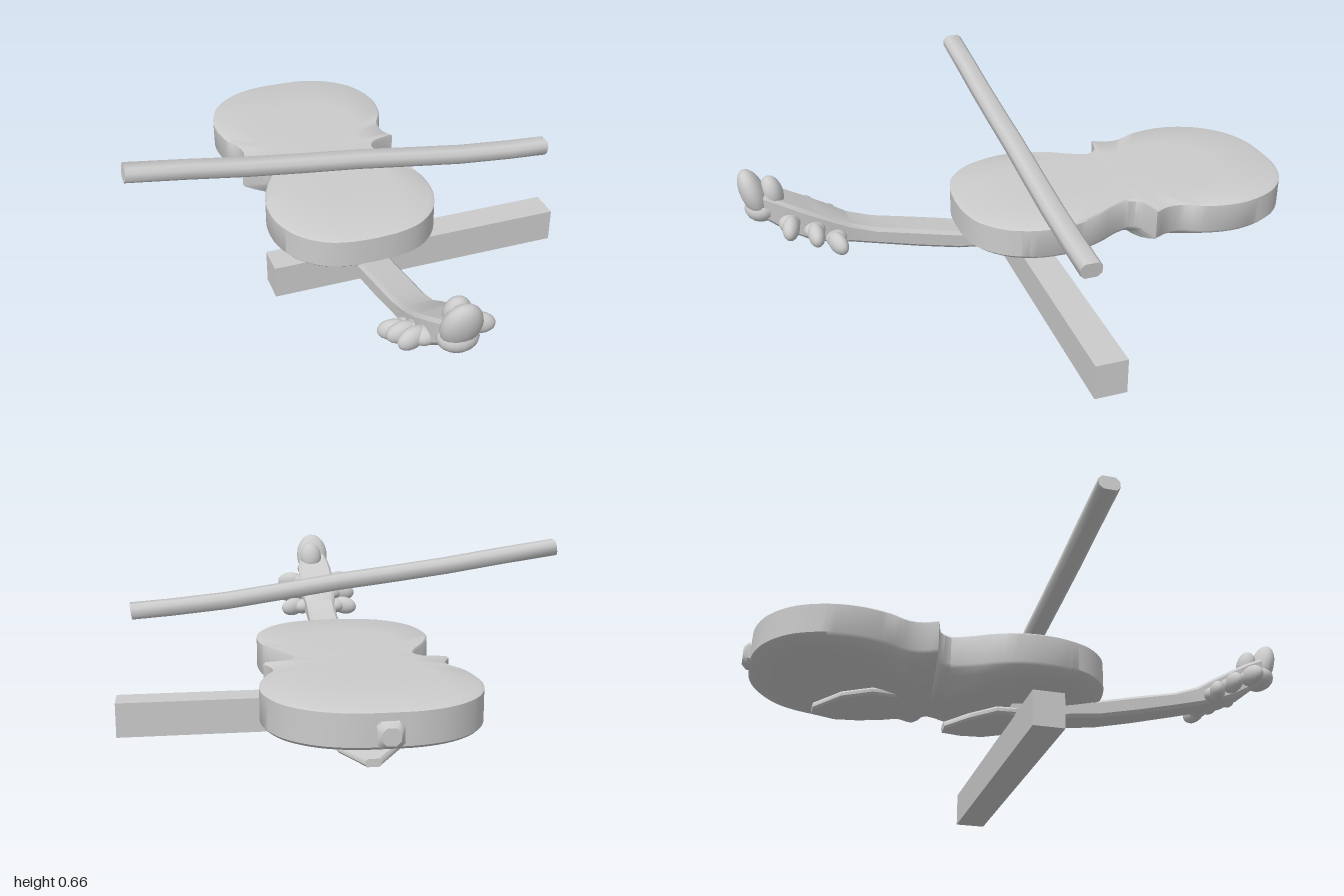
import * as THREE from 'three';
import { mergeVertices, toCreasedNormals } from 'three/addons/utils/BufferGeometryUtils.js';

const material = new THREE.MeshStandardMaterial({ color: 0xcccccc });

// Skin closed rings of [x, y, z] points and cap both ends with a fan
function loft(rings, crease = 0.7) {
  const n = rings[0].length, pos = rings.flat(2), idx = [];
  for (let r = 0; r < rings.length - 1; r++) {
    for (let i = 0; i < n; i++) {
      const a = r * n + i, b = r * n + (i + 1) % n;
      idx.push(a, b, b + n, a, b + n, a + n);
    }
  }
  [0, rings.length - 1].forEach((r, end) => {
    const c = pos.length / 3;
    for (let k = 0; k < 3; k++) pos.push(rings[r].reduce((s, p) => s + p[k], 0) / n);
    for (let i = 0; i < n; i++) {
      const a = r * n + i, b = r * n + (i + 1) % n;
      idx.push(...(end ? [c, a, b] : [c, b, a]));
    }
  });
  // Make the faces point outwards
  let volume = 0;
  const v = (i) => new THREE.Vector3().fromArray(pos, i * 3);
  for (let t = 0; t < idx.length; t += 3) volume += v(idx[t]).dot(v(idx[t + 1]).cross(v(idx[t + 2])));
  if (volume < 0) idx.reverse();
  const geo = new THREE.BufferGeometry();
  geo.setAttribute('position', new THREE.Float32BufferAttribute(pos, 3));
  geo.setIndex(idx);
  return toCreasedNormals(mergeVertices(geo), crease);
}

// Chamfered rectangle, returned as [u, v] offsets
function chamfered(hu, hv, c) {
  return [[hu, hv - c], [hu - c, hv], [c - hu, hv], [-hu, hv - c],
    [-hu, c - hv], [c - hu, -hv], [hu - c, -hv], [hu, c - hv]];
}

// Half outline of the body as [x, z], from tail to neck
const tailHalf = [[0, -0.975], [0.1, -0.97], [0.2, -0.935], [0.285, -0.86], [0.33, -0.76],
  [0.34, -0.67], [0.322, -0.57], [0.285, -0.49], [0.285, -0.44], [0.308, -0.39]];
const neckHalf = [[0.23, -0.37], [0.203, -0.335], [0.222, -0.27], [0.265, -0.19], [0.297, -0.1],
  [0.305, -0.02], [0.295, 0.06], [0.255, 0.15], [0.18, 0.22], [0.09, 0.25], [0, 0.257]];

function bodyOutline() {
  const smooth = (pts, n) => new THREE.CatmullRomCurve3(
    pts.map(([x, z]) => new THREE.Vector3(x, 0, z))).getSpacedPoints(n).map((p) => [p.x, p.z]);
  const half = [...smooth(tailHalf, 32), ...smooth(neckHalf, 32)];
  return [...half, ...half.slice(1, -1).reverse().map(([x, z]) => [-x, z])];
}

// Flat back, straight ribs and a bulging underside, as [scale, y]
function bodyGeometry() {
  const zc = -0.36, outline = bodyOutline();
  const profile = [[0.02, 0.342], [0.6, 0.342], [0.97, 0.339], [1, 0.332], [1, 0.232], [0.98, 0.222],
    [0.85, 0.202], [0.66, 0.178], [0.45, 0.16], [0.25, 0.15], [0.02, 0.148]];
  return loft(profile.map(([s, y]) => outline.map(([x, z]) => [x * s - 0.005, y, zc + (z - zc) * s])));
}

// Neck and peg box sections: [z, bottom y, top y, half width]
function neckGeometry() {
  const stations = [[-0.03, 0.14, 0.2, 0.06], [0.06, 0.142, 0.2, 0.06], [0.26, 0.168, 0.235, 0.061],
    [0.4, 0.2, 0.268, 0.06], [0.55, 0.238, 0.302, 0.058], [0.64, 0.262, 0.335, 0.058],
    [0.7, 0.275, 0.37, 0.068], [0.78, 0.305, 0.415, 0.072], [0.85, 0.345, 0.455, 0.068], [0.92, 0.4, 0.49, 0.055]];
  return loft(stations.map(([z, lo, hi, w]) =>
    chamfered(w, (hi - lo) / 2, 0.012).map(([u, v]) => [u - 0.008, (lo + hi) / 2 + v, z])));
}

// Slightly bent stick with rounded edges
function bowGeometry() {
  const path = [[-0.805, 0.632], [-0.6, 0.603], [-0.4, 0.572], [-0.2, 0.546], [0, 0.522],
    [0.2, 0.492], [0.4, 0.463], [0.6, 0.444], [0.74, 0.434]];
  const rings = path.map(([x, y]) =>
    chamfered(0.036, 0.027, 0.014).map(([u, v]) => [x + v * 0.14, y + v, 0.036 + u]));
  return loft(rings, 0.9);
}

// Thin drooping plate with a pointed outline: sections [z, y, half width]
function tongueGeometry(stations, thickness) {
  return loft(stations.map(([z, y, w]) =>
    chamfered(w, thickness / 2, thickness * 0.3).map(([u, v]) => [u, y + v, z])));
}

export function createModel() {
  const model = new THREE.Group();
  const add = (name, geo, parent = model) => {
    const mesh = new THREE.Mesh(geo, material);
    mesh.name = name;
    parent.add(mesh);
    return mesh;
  };
  const blob = (name, [x, y, z], [rx, ry, rz], parent) => {
    const mesh = add(name, new THREE.SphereGeometry(1, 16, 12), parent);
    mesh.position.set(x, y, z);
    mesh.scale.set(rx, ry, rz);
    return mesh;
  };

  add('body', bodyGeometry());
  add('neck', neckGeometry());
  add('bow', bowGeometry());

  // Supporting bar and the pad joining it to the body
  add('supportBar', new THREE.BoxGeometry(1.12, 0.126, 0.112)).position.set(0.245, 0.063, -0.016);
  add('supportPad', new THREE.BoxGeometry(0.19, 0.05, 0.13)).position.set(-0.005, 0.148, -0.02);

  // End button on the tail
  add('endButton', loft([[-0.94, 0.04, 0.045], [-0.985, 0.04, 0.038], [-1, 0.028, 0.026]].map(([z, w, h]) =>
    chamfered(w, h, 0.014).map(([u, v]) => [u - 0.01, 0.268 + v, z]))));

  // Plates hanging under the body
  add('bridgePlate', tongueGeometry([[-0.05, 0.14, 0.1], [-0.14, 0.128, 0.12],
    [-0.23, 0.108, 0.08], [-0.305, 0.09, 0.025]], 0.028));
  add('tailPlate', tongueGeometry([[-0.48, 0.158, 0.09], [-0.57, 0.144, 0.125],
    [-0.67, 0.128, 0.1], [-0.755, 0.108, 0.025]], 0.026));

  // Scroll at the end of the neck
  const scroll = new THREE.Group();
  scroll.name = 'scroll';
  model.add(scroll);
  blob('scrollOuter', [-0.008, 0.48, 0.945], [0.066, 0.09, 0.042], scroll).rotation.x = 0.3;
  blob('scrollInner', [0.004, 0.48, 0.885], [0.045, 0.06, 0.036], scroll).rotation.x = 0.2;
  blob('scrollThroat', [-0.008, 0.425, 0.925], [0.066, 0.045, 0.055], scroll);

  // Three tuning pegs on each side
  const pegs = new THREE.Group();
  pegs.name = 'tuningPegs';
  model.add(pegs);
  for (const side of [-1, 1]) {
    [[0.695, 0.3, 0.35], [0.765, 0.345, 0], [0.845, 0.385, -0.25]].forEach(([z, y, yaw]) => {
      const peg = blob('peg', [-0.008 + side * 0.108, y, z], [0.052, 0.036, 0.028], pegs);
      peg.rotation.set(0, side * yaw, side * -0.15);
      blob('pegShaft', [-0.008 + side * 0.07, y, z], [0.04, 0.03, 0.036], pegs);
    });
  }
  return model;
}
